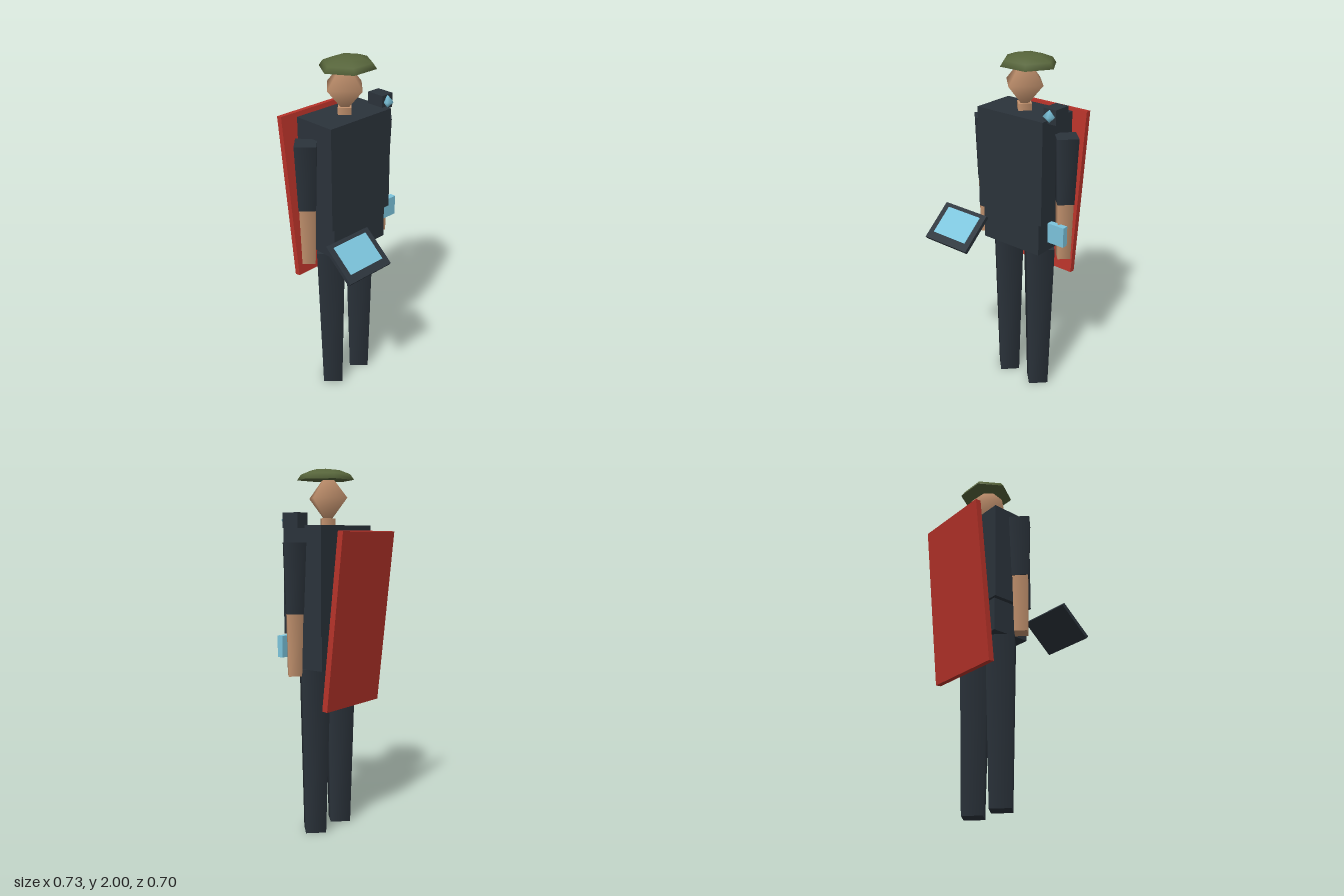
import * as THREE from 'three';

export function createModel() {
  const group = new THREE.Group();
  const mat = (name, color) => {
    const m = new THREE.MeshStandardMaterial({ color });
    m.name = name;
    return m;
  };
  const navy = mat('navy cloth', 0x2b333b);
  const skin = mat('skin', 0xc4936f);
  const red = mat('red panel', 0xb8332a);
  const cyan = mat('cyan glass', 0x7cc4dc);
  const olive = mat('olive felt', 0x57653b);

  const CX = 0.004, CZ = -0.07; // body axis
  const add = (name, geo, material, x, y, z, parent = group) => {
    const m = new THREE.Mesh(geo, material);
    m.name = name;
    m.position.set(x, y, z);
    parent.add(m);
    return m;
  };
  const box = (w, h, d) => new THREE.BoxGeometry(w, h, d);
  // four-sided, smooth-shaded limb spanning y0 to y1
  const limb = (name, material, x, y0, y1, rTop, rBottom) =>
    add(name, new THREE.CylinderGeometry(rTop, rBottom, y1 - y0, 4), material, x, (y0 + y1) / 2, CZ);

  // trunk
  add('torso', box(0.44, 0.58, 0.256), navy, CX, 1.41, -0.071);
  add('hips', box(0.39, 0.19, 0.23), navy, CX, 1.025, CZ);

  // legs and arms
  for (const [side, s] of [['left', 1], ['right', -1]]) {
    limb(side + 'Leg', navy, CX + s * 0.112, 0, 0.93, 0.11, 0.08);
    limb(side + 'Sleeve', navy, CX + s * 0.28, 1.24, 1.61, 0.081, 0.064);
    limb(side + 'Forearm', skin, CX + s * 0.28, 0.91, 1.245, 0.06, 0.05);
  }

  // head
  limb('neck', skin, CX, 1.69, 1.738, 0.051, 0.051);
  const head = add('head', new THREE.SphereGeometry(0.13, 4, 2), skin, CX, 1.845, CZ);
  head.scale.set(0.96, 1.08, 1.01);

  // cap: squashed six-sided dome with a flat underside
  const cap = new THREE.Group();
  cap.name = 'cap';
  cap.position.set(0.0275, 1.94, -0.071);
  cap.scale.set(1, 1, 0.925);
  group.add(cap);
  const dome = add('capDome', new THREE.SphereGeometry(0.163, 6, 3, 0, Math.PI * 2, 0, Math.PI / 2), olive, 0, 0, 0, cap);
  dome.scale.y = 0.06 / 0.163;
  add('capUnderside', new THREE.CircleGeometry(0.163, 6), olive, 0, 0, 0, cap).rotation.x = Math.PI / 2;

  // shoulder camera
  add('cameraBody', box(0.08, 0.08, 0.105), navy, 0.2375, 1.725, -0.035);
  add('cameraLens', new THREE.SphereGeometry(0.035, 5, 2), cyan, 0.237, 1.727, 0.02).rotation.y = Math.PI;

  // wrist device
  add('wristDevice', box(0.105, 0.115, 0.035), cyan, 0.283, 1.066, -0.012);

  // leaning back panel
  add('backPanel', box(0.463, 0.95, 0.033), red, CX, 1.197, -0.283).rotation.x = -0.105;

  // tilted tablet with its screen
  const tablet = new THREE.Group();
  tablet.name = 'tablet';
  tablet.position.set(-0.2165, 1.0515, 0.251);
  tablet.rotation.x = 0.7;
  group.add(tablet);
  add('tabletBody', box(0.302, 0.022, 0.233), navy, 0, 0, 0, tablet);
  add('tabletScreen', box(0.233, 0.004, 0.167), cyan, 0.001, 0.0125, -0.01, tablet);

  return group;
}
